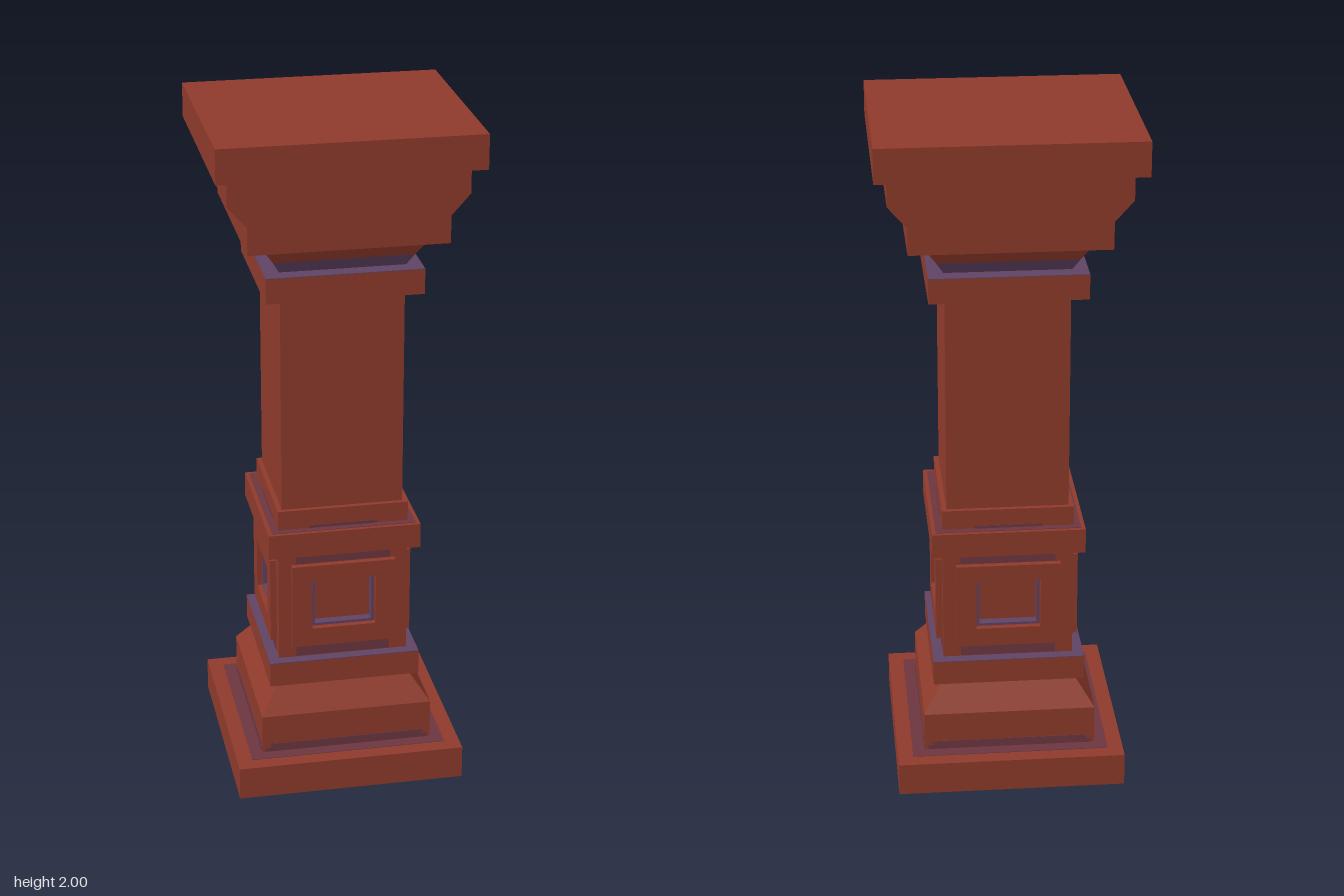
import * as THREE from 'three';

const brick = new THREE.MeshStandardMaterial({ color: 0x8e3a2b });
brick.name = 'brickRed';
const purple = new THREE.MeshStandardMaterial({ color: 0x5f4263 });
purple.name = 'dustyPurple';
const plum = new THREE.MeshStandardMaterial({ color: 0x6c3640 });
plum.name = 'plumStain';

export function createModel() {
  const model = new THREE.Group();
  model.name = 'pedestalColumn';

  const add = (name, geometry, material = brick, parent = model) => {
    const mesh = new THREE.Mesh(geometry, material);
    mesh.name = name;
    parent.add(mesh);
    return mesh;
  };

  // Box slab given by half sizes and its bottom and top heights
  const slab = (name, hx, y0, y1, material, hz = hx) =>
    add(name, new THREE.BoxGeometry(2 * hx, y1 - y0, 2 * hz), material).position.y = (y0 + y1) / 2;

  // Square block tapering from half width h0 at y0 to h1 at y1
  const taper = (name, h0, h1, y0, y1, material) => {
    const r = Math.SQRT2;
    const geometry = new THREE.CylinderGeometry(h1 * r, h0 * r, y1 - y0, 4, 1, false, Math.PI / 4).toNonIndexed();
    geometry.computeVertexNormals();
    add(name, geometry, material).position.y = (y0 + y1) / 2;
  };

  // Rectangular plate with a square hole, from z0 to z1
  const frame = (name, hw, y0, y1, hole, z0, z1, material, parent) => {
    const cy = 0.557;
    const shape = new THREE.Shape([[-hw, y0], [hw, y0], [hw, y1], [-hw, y1]].map(p => new THREE.Vector2(...p)));
    shape.holes.push(new THREE.Path([[-hole, cy - hole * 0.82], [-hole, cy + hole * 0.82],
      [hole, cy + hole * 0.82], [hole, cy - hole * 0.82]].map(p => new THREE.Vector2(...p))));
    const geometry = new THREE.ExtrudeGeometry(shape, { depth: z1 - z0, bevelEnabled: false });
    geometry.translate(0, 0, z0);
    add(name, geometry, material, parent);
  };

  // Base, with stained ledges
  slab('plinth', 0.337, 0, 0.1);
  slab('plinthLedge', 0.292, 0.1, 0.1015, plum);
  slab('baseBlock', 0.255, 0.1, 0.22);
  taper('baseSlope', 0.255, 0.202, 0.22, 0.295);
  taper('baseSlopeTop', 0.202, 0.195, 0.295, 0.305, purple);
  slab('lowerRing', 0.224, 0.305, 0.379);
  slab('lowerRingTop', 0.224, 0.379, 0.381, purple);

  // Pedestal die with a framed, sunken panel on each side
  slab('dieCore', 0.167, 0.38, 0.725);
  for (let i = 0; i < 4; i++) {
    const side = new THREE.Group();
    side.name = 'pedestalSide' + (i + 1);
    side.rotation.y = i * Math.PI / 2;
    model.add(side);
    frame('dieWall', 0.192, 0.38, 0.725, 0.089, 0.16, 0.192, brick, side);
    frame('recessLining', 0.092, 0.481, 0.633, 0.084, 0.16, 0.194, purple, side);
    frame('panelFrame', 0.154, 0.422, 0.685, 0.095, 0.19, 0.21, brick, side);
    // Stains: width, height, y, z, colour
    const stains = [
      [0.28, 0.036, 0.705, 0.192, plum], [0.28, 0.036, 0.401, 0.192, plum],
      [0.46, 0.012, 0.122, 0.255, plum], [0.49, 0.014, 0.109, 0.255, plum],
      [0.2, 0.01, 0.806, 0.192, plum], [0.3, 0.014, 1.508, 0.178, purple],
    ];
    for (const [w, h, y, z, material] of stains) {
      add('stainStrip', new THREE.BoxGeometry(w, h, 0.003), material, side).position.set(0, y, z);
    }
  }

  // Rings, shaft and neck
  slab('middleRing', 0.224, 0.725, 0.8);
  slab('middleRingLedge', 0.212, 0.8, 0.8015, plum);
  slab('shaftFoot', 0.192, 0.8, 0.86);
  slab('shaft', 0.178, 0.86, 1.52);
  slab('upperRing', 0.225, 1.515, 1.588);
  slab('upperRingTop', 0.225, 1.588, 1.59, purple);
  taper('neckBand', 0.18, 0.2, 1.59, 1.625, purple);
  taper('neckFlare', 0.2, 0.235, 1.625, 1.68);

  // Capital, flared to the left and right only
  const half = [[0.283, 1.68], [0.283, 1.76], [0.337, 1.82], [0.337, 1.9]];
  const outline = [...half, ...half.map(([x, y]) => [-x, y]).reverse()];
  const capital = new THREE.ExtrudeGeometry(
    new THREE.Shape(outline.map(p => new THREE.Vector2(...p))), { depth: 0.56, bevelEnabled: false });
  capital.translate(0, 0, -0.28);
  add('capital', capital);
  slab('topSlab', 0.373, 1.9, 2, brick, 0.327);

  return model;
}
